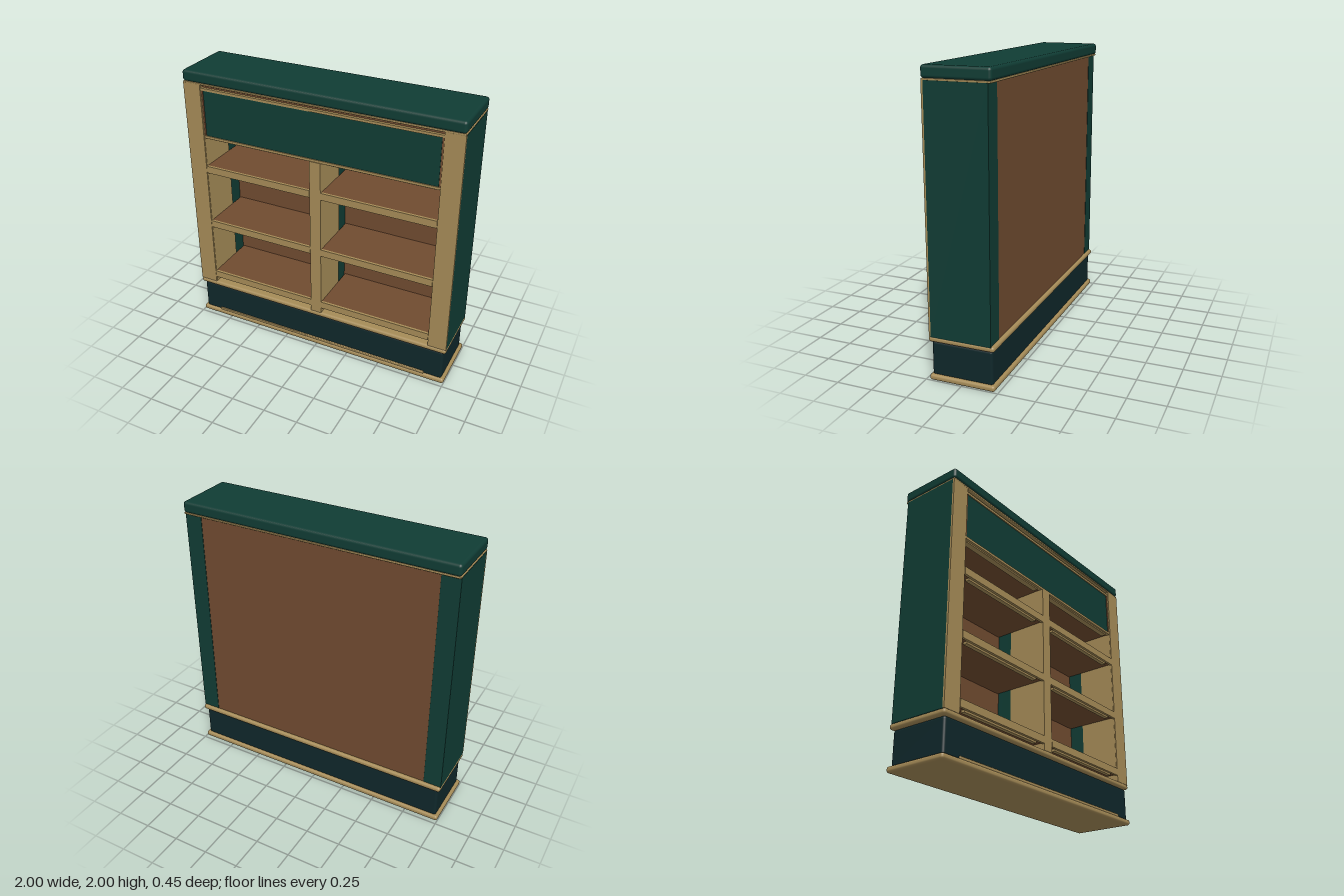
import * as THREE from 'three';
import { RoundedBoxGeometry } from 'three/addons/geometries/RoundedBoxGeometry.js';

const material = (name, color) => {
  const m = new THREE.MeshStandardMaterial({ color });
  m.name = name;
  return m;
};

export function createModel() {
  const green = material('green paint', 0x103c34);
  const gold = material('pale wood', 0xa58b57);
  const brown = material('brown wood', 0x704b30);
  const dark = material('dark plinth paint', 0x0f272a);

  const model = new THREE.Group();
  model.name = 'bookcase';

  // Box given by its extents; a radius rounds the edges
  function box(name, mat, [x0, x1], [y0, y1], [z0, z1], radius = 0) {
    const size = [x1 - x0, y1 - y0, z1 - z0];
    const geometry = radius
      ? new RoundedBoxGeometry(...size, 3, radius)
      : new THREE.BoxGeometry(...size);
    const mesh = new THREE.Mesh(geometry, mat);
    mesh.name = name;
    mesh.position.set((x0 + x1) / 2, (y0 + y1) / 2, (z0 + z1) / 2);
    model.add(mesh);
    return mesh;
  }
  const span = (c, half) => [c - half, c + half];

  // Base, plinth and ledge
  box('baseMoulding', gold, [-1, 1], [0, 0.04], [-0.227, 0.227], 0.017);
  box('plinth', dark, [-0.98, 0.98], [0.03, 0.266], [-0.208, 0.212], 0.018);
  box('plinthTrim', gold, [-0.85, 0.85], [0.035, 0.056], [0.2, 0.221], 0.006);
  box('ledgeMoulding', gold, [-1, 1], [0.266, 0.304], [-0.227, 0.227], 0.017);

  // Crown with its thin trim
  box('crownTrim', gold, [-0.998, 0.998], [1.908, 1.922], [-0.222, 0.222], 0.005);
  box('crown', green, [-1, 1], [1.92, 2], [-0.227, 0.227], 0.02);

  // Back panel
  box('backPanel', brown, [-0.87, 0.87], [0.3, 1.91], [-0.204, -0.185]);

  // Side panels with face boards and inner linings
  for (const s of [-1, 1]) {
    box('sidePanel', green, span(s * 0.935, 0.064), [0.3, 1.91], [-0.206, 0.208]);
    box('faceBoard', gold, span(s * 0.933, 0.066), [0.302, 1.91], [0.208, 0.221]);
    box('sideLining', gold, span(s * 0.869, 0.005), [0.302, 1.91], [-0.07, 0.215]);
  }

  // Central divider
  box('dividerCore', green, [-0.035, 0.035], [0.3, 1.52], [-0.19, -0.07]);
  box('divider', gold, [-0.041, 0.041], [0.302, 1.52], [-0.07, 0.221]);

  // Shelves in both bays, each with a front lip and a bead below
  for (const s of [-1, 1]) {
    const x = s * 0.453;
    for (const top of [0.4, 0.85, 1.3]) {
      box('shelf', brown, span(x, 0.411), [top - 0.045, top], [-0.188, 0.205]);
      box('shelfLip', gold, span(x, 0.411), [top - 0.052, top + 0.001], [0.205, 0.223]);
      box('shelfBead', gold, span(x - s * 0.0, 0.35), [top - 0.062, top - 0.045], [0.17, 0.2]);
    }
    box('headerBead', gold, span(x, 0.38), [1.508, 1.52], [0.16, 0.2]);
  }

  // Header box, its frame and the sign board
  box('headerBody', brown, [-0.868, 0.868], [1.522, 1.909], [-0.188, 0.195]);
  for (const y of [1.527, 1.878]) {
    box('headerRail', gold, [-0.864, 0.864], span(y, 0.009), [0.19, 0.216]);
  }
  for (const s of [-1, 1]) {
    box('headerStile', brown, span(s * 0.858, 0.006), [1.536, 1.869], [0.19, 0.212]);
  }
  box('signBoard', green, [-0.85, 0.85], [1.536, 1.869], [0.19, 0.209]);

  return model;
}
